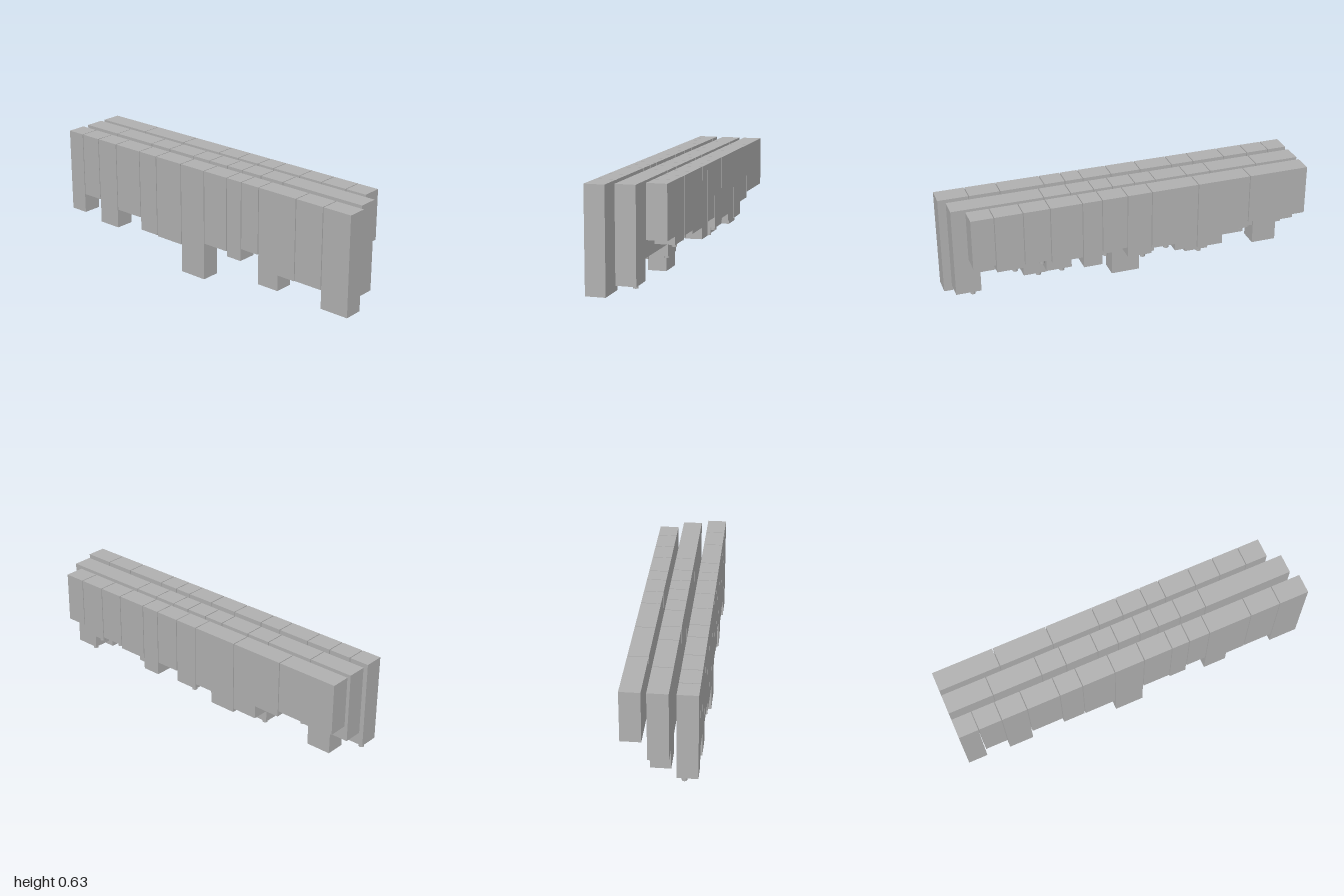
import * as THREE from 'three';

const TOP = 0.63, DEPTH = 0.107, GAP = 0.005;
const PEG_R = 0.014, PEG_LENGTH = 0.029, PEG_SHIFT = -0.017;

const gray = new THREE.MeshStandardMaterial({ color: 0xb0b0b0 });
gray.name = 'gray';

// one box, with an optional round peg under it
function addBlock(row, name, x0, x1, top, bottom, pegX) {
  const block = new THREE.Mesh(new THREE.BoxGeometry(x1 - x0, top - bottom, DEPTH), gray);
  block.name = name;
  block.position.set((x0 + x1) / 2, (top + bottom) / 2, 0);
  row.add(block);
  if (pegX === undefined) return;
  const peg = new THREE.Mesh(new THREE.CylinderGeometry(PEG_R, PEG_R, PEG_LENGTH, 24), gray);
  peg.name = 'peg';
  peg.position.set(pegX, bottom - PEG_LENGTH / 2, PEG_SHIFT);
  row.add(peg);
}

// blocks side by side from x = -1, each given as [right edge, bottom, peg x]
function makeRow(name, z, blocks) {
  const row = new THREE.Group();
  row.name = name;
  row.position.z = z;
  let left = -1;
  for (const [right, bottom, pegX] of blocks) {
    addBlock(row, 'block', left, right, TOP, bottom, pegX);
    left = right + GAP;
  }
  return row;
}

export function createModel() {
  const model = new THREE.Group();
  model.name = 'hangingBlocks';

  const front = makeRow('frontRow', 0.139, [
    [-0.893, 0.152, -0.97], [-0.765, 0.265], [-0.623, 0.127], [-0.44, 0.238, -0.565],
    [-0.312, 0.165, -0.4], [-0.128, 0.16, -0.254], [0.04, 0], [0.2, 0.213], [0.3, 0.185],
    [0.417, 0.255], [0.66, 0.177, 0.583], [0.83, 0.18, 0.714], [1, 0.077],
  ]);
  addBlock(front, 'step', 0.422, 0.553, 0.177, 0.088, 0.46);

  const middle = makeRow('middleRow', -0.005, [
    [-0.755, 0.25], [-0.482, 0.245, -0.694], [-0.343, 0.15, -0.44], [-0.163, 0.325],
    [-0.046, 0.19, -0.115], [0.08, 0.295, -0.004], [0.185, 0.225, 0.115], [0.314, 0.25],
    [0.461, 0.18, 0.366], [0.963, 0.245, 0.704],
  ]);
  addBlock(middle, 'step', -0.895, -0.755, 0.25, 0.131);
  addBlock(middle, 'step', 0.825, 0.963, 0.245, 0.131, 0.865);

  const back = makeRow('backRow', -0.139, [
    [-0.663, 0.35], [-0.362, 0.317], [-0.097, 0.29, -0.19], [0.041, 0.26, -0.054],
    [0.181, 0.32], [0.29, 0.245], [0.465, 0.307], [0.61, 0.325, 0.511],
    [0.764, 0.307, 0.66], [0.89, 0.35],
  ]);
  addBlock(back, 'step', -0.508, -0.362, 0.317, 0.245);
  addBlock(back, 'step', -0.357, -0.23, 0.29, 0.25);

  model.add(front, middle, back);
  return model;
}
